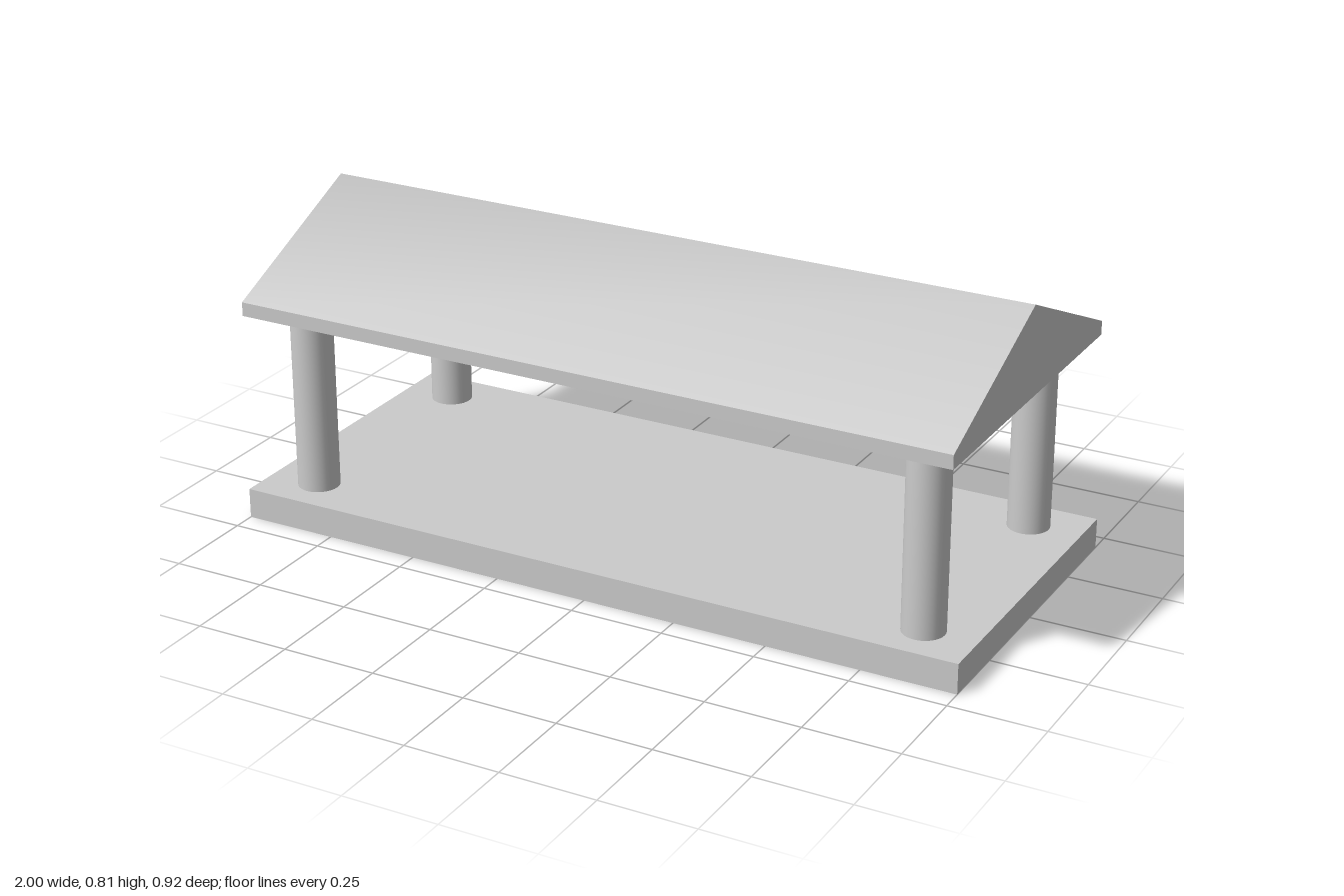
import * as THREE from 'three';
import { toCreasedNormals } from 'three/addons/utils/BufferGeometryUtils.js';

export function createModel() {
  const model = new THREE.Group();
  model.name = 'openPavilion';
  const material = new THREE.MeshStandardMaterial({ color: 0xcccccc });

  const add = (name, geometry, x, y, z) => {
    const mesh = new THREE.Mesh(geometry, material);
    mesh.name = name;
    mesh.position.set(x, y, z);
    model.add(mesh);
    return mesh;
  };

  // Floor slab
  const baseTop = 0.08;
  add('base', new THREE.BoxGeometry(2, baseTop, 0.88), 0, baseTop / 2, 0);

  // Four round corner columns
  const roofBottom = 0.575;
  const columnHeight = roofBottom - baseTop;
  const columnGeometry = new THREE.CylinderGeometry(0.055, 0.055, columnHeight, 32);
  for (const [side, x] of [['Left', 0.86], ['Right', -0.86]]) {
    for (const [end, z] of [['front', 0.324], ['back', -0.324]]) {
      add(`${end}${side}Column`, columnGeometry, x, baseTop + columnHeight / 2, z);
    }
  }

  // Solid gabled roof: gable profile extruded along x, softly shaded over the ridge
  const halfDepth = 0.458, eave = 0.037, ridge = 0.24, length = 1.95;
  const gable = new THREE.Shape([
    new THREE.Vector2(-halfDepth, 0),
    new THREE.Vector2(halfDepth, 0),
    new THREE.Vector2(halfDepth, eave),
    new THREE.Vector2(0, ridge),
    new THREE.Vector2(-halfDepth, eave),
  ]);
  const roofGeometry = new THREE.ExtrudeGeometry(gable, { depth: length, bevelEnabled: false });
  roofGeometry.translate(0, 0, -length / 2).rotateY(Math.PI / 2);
  add('roof', toCreasedNormals(roofGeometry, 1), 0, roofBottom, 0);

  return model;
}
